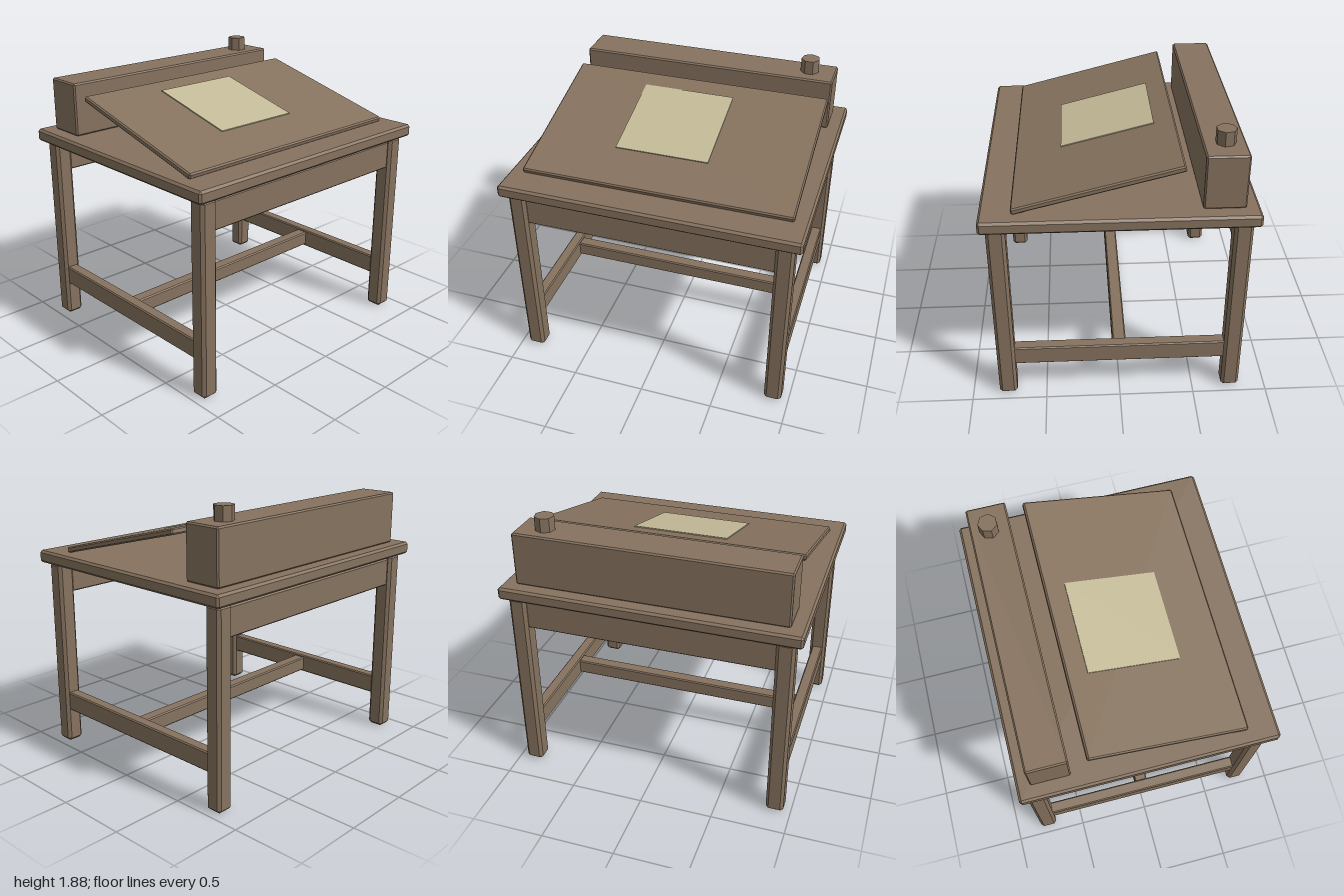
import * as THREE from 'three';
import { ConvexGeometry } from 'three/addons/geometries/ConvexGeometry.js';

const wood = new THREE.MeshStandardMaterial({ color: 0x86725e });
wood.name = 'brown wood';
const paperColour = new THREE.MeshStandardMaterial({ color: 0xc4ba98 });
paperColour.name = 'cream paper';

// Box with every edge cut by a flat chamfer c
function chamferBox(w, h, d, c) {
  const x = w / 2, y = h / 2, z = d / 2, points = [];
  for (const sx of [-1, 1]) for (const sy of [-1, 1]) for (const sz of [-1, 1]) {
    points.push(
      new THREE.Vector3(sx * x, sy * (y - c), sz * (z - c)),
      new THREE.Vector3(sx * (x - c), sy * y, sz * (z - c)),
      new THREE.Vector3(sx * (x - c), sy * (y - c), sz * z)
    );
  }
  return new ConvexGeometry(points);
}

function add(parent, name, geometry, material, x, y, z) {
  const mesh = new THREE.Mesh(geometry, material);
  mesh.name = name;
  mesh.position.set(x, y, z);
  parent.add(mesh);
  return mesh;
}

export function createModel() {
  const model = new THREE.Group();
  model.name = 'draftingDesk';

  add(model, 'tableTop', chamferBox(2, 0.085, 1.72, 0.015), wood, 0, 1.3775, 0);

  // Four legs
  const leg = chamferBox(0.12, 1.335, 0.12, 0.02);
  for (const sx of [-1, 1]) for (const sz of [-1, 1]) {
    add(model, (sz > 0 ? 'front' : 'back') + (sx > 0 ? 'Left' : 'Right') + 'Leg',
      leg, wood, sx * 0.89, 0.6675, sz * 0.76);
  }

  // Aprons at front and back, hung just below the top
  const apron = chamferBox(1.7, 0.195, 0.07, 0.008);
  add(model, 'frontApron', apron, wood, 0, 1.2125, 0.76);
  add(model, 'backApron', apron, wood, 0, 1.2125, -0.76);

  // H-shaped stretchers
  const sideStretcher = chamferBox(0.08, 0.135, 1.44, 0.008);
  add(model, 'leftStretcher', sideStretcher, wood, 0.89, 0.3125, 0);
  add(model, 'rightStretcher', sideStretcher, wood, -0.89, 0.3125, 0);
  add(model, 'centreStretcher', chamferBox(1.74, 0.105, 0.09, 0.008), wood, 0, 0.3125, 0);

  // Sloping drawing board with a sheet of paper on it
  const board = new THREE.Group();
  board.name = 'drawingBoard';
  board.position.set(0, 1.569, 0.134);
  board.rotation.x = 0.252;
  model.add(board);
  add(board, 'boardPanel', chamferBox(1.81, 0.04, 1.087, 0.009), wood, 0, 0, 0);
  add(board, 'paper', new THREE.BoxGeometry(0.635, 0.007, 0.63), paperColour, -0.047, 0.0233, -0.092);

  // Box along the back edge, with a seven-sided pot on top
  add(model, 'backBox', chamferBox(1.81, 0.362, 0.267, 0.01), wood, 0, 1.601, -0.638);
  const pot = add(model, 'pot', new THREE.CylinderGeometry(0.065, 0.065, 0.1, 7).toNonIndexed(),
    wood, 0.723, 1.827, -0.645);
  pot.geometry.computeVertexNormals();
  pot.rotation.y = Math.PI;

  return model;
}
